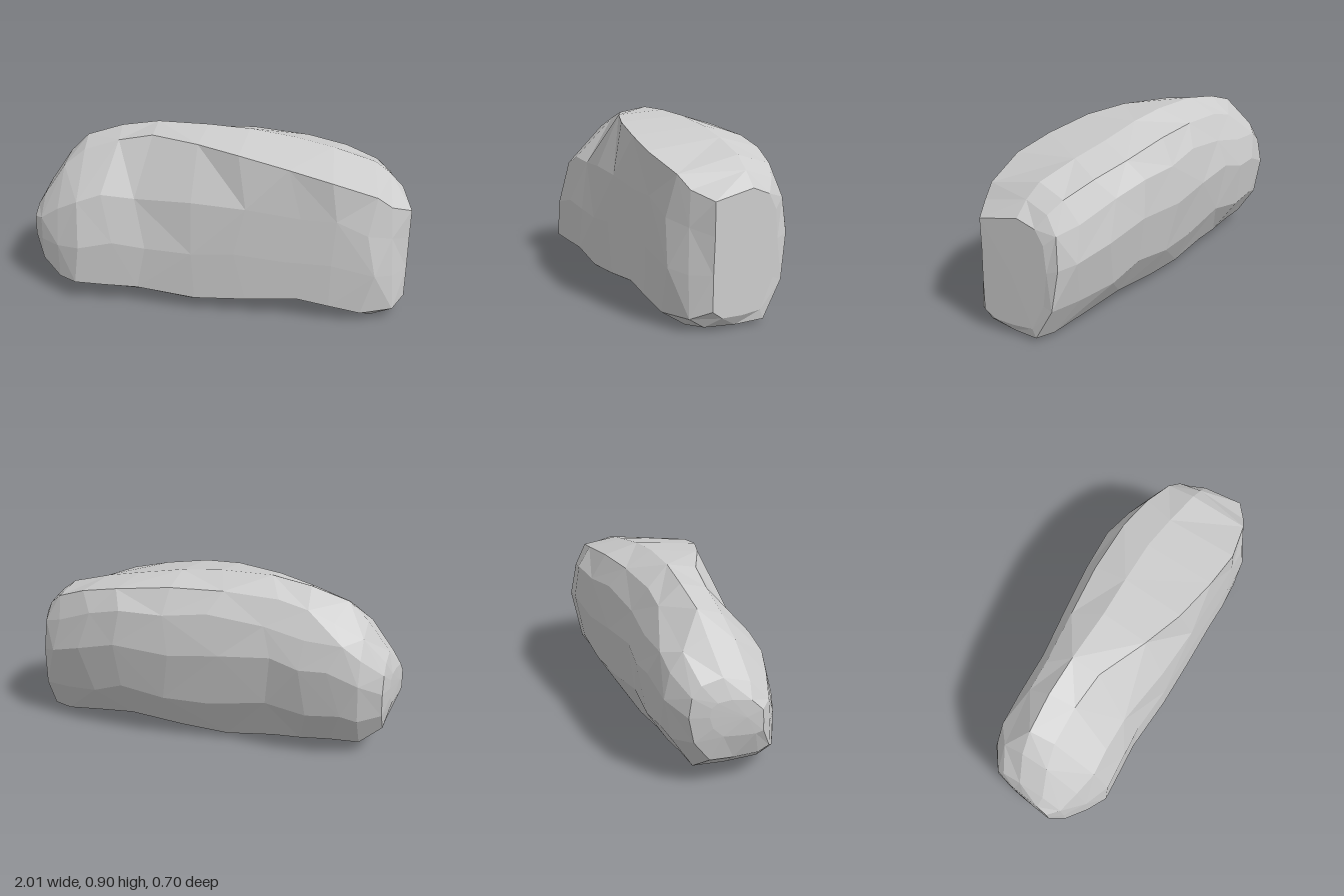
import * as THREE from 'three';

// Cross-sections along the length:
// x, bottom y, top y, back z, front z, shoulder z, shoulder y
const SECTIONS = [
  [-0.985, 0.28, 0.46, -0.09, 0.16, 0.1, 0.45],
  [-0.95, 0.15, 0.555, -0.18, 0.22, 0.11, 0.52],
  [-0.84, 0.065, 0.715, -0.258, 0.29, 0.08, 0.68],
  [-0.72, 0.058, 0.81, -0.284, 0.345, 0.06, 0.77],
  [-0.56, 0.045, 0.872, -0.295, 0.335, 0.06, 0.835],
  [-0.38, 0.035, 0.907, -0.288, 0.32, 0.08, 0.88],
  [-0.1, 0.008, 0.907, -0.312, 0.338, 0.19, 0.885],
  [0.15, 0.03, 0.892, -0.342, 0.34, 0.26, 0.865],
  [0.42, 0.062, 0.855, -0.355, 0.338, 0.3, 0.82],
  [0.62, 0.035, 0.817, -0.328, 0.338, 0.315, 0.77],
  [0.81, 0.003, 0.76, -0.282, 0.325, 0.27, 0.69],
  [0.92, 0.015, 0.7, -0.235, 0.265, 0.24, 0.63],
  [0.967, 0.062, 0.63, -0.18, 0.18, 0.17, 0.59],
];

// Loop of twelve points: over the shoulder, down the front, under, up the back
function ring([x, yb, yt, zb, zf, zs, ys], i) {
  const w = zf - zb, h = yt - yb;
  const lean = Math.max(0, zf - zs - 0.1); // upper sides lean inward where the shoulder is set in
  const pts = [
    [zs, ys],
    [zf - 0.025 * w - 0.3 * lean, yb + 0.66 * h],
    [zf - 0.005 * w, yb + 0.36 * h],
    [zf, yb + 0.075 * h],
    [zf - 0.14 * w, yb + 0.01 * h],
    [zb + 0.55 * w, yb],
    [zb + 0.26 * w, yb + 0.012 * h],
    [zb + 0.065 * w, yb + 0.26 * h],
    [zb, yb + 0.57 * h],
    [zb + 0.03 * w + 0.1 * lean, yb + (0.81 - 0.4 * lean) * h],
    [zb + 0.14 * w + 0.1 * lean, yb + (0.94 - 0.3 * lean) * h],
    [zb + (0.4 - 0.3 * lean) * w, yt],
  ];
  const first = i === 0, end = i === SECTIONS.length - 1, corner = i === SECTIONS.length - 2;
  const inner = i > 2 && !end && !corner;
  return pts.map(([z, y], j) => {
    // the ends are cut at a slant; elsewhere the facets are made uneven
    const dx = end ? 0.19 * z
      : corner ? -0.08 * (y - 0.35)
      : first ? -0.12 * z
      : inner ? 0.035 * Math.sin(i * 5.3 + j * 2.9) : 0;
    const dy = inner && [1, 2, 7, 8, 9].includes(j) ? 0.018 * Math.sin(i * 2.3 + j * 5.7) : 0;
    return [x + dx, y + dy, z];
  });
}

function rockGeometry() {
  const rings = SECTIONS.map(ring);
  const n = rings[0].length, last = rings.length - 1;
  const pos = rings.flat(2), idx = [];

  // skin between sections, with alternating diagonals
  for (let i = 0; i < last; i++) {
    for (let j = 0; j < n; j++) {
      const k = (j + 1) % n;
      const a = i * n + j, b = a + n, c = i * n + k, d = c + n;
      if ((i + j) % 2) idx.push(a, c, b, b, c, d);
      else idx.push(a, c, d, a, d, b);
    }
  }

  // end faces
  const left = rings.length * n, right = left + 1;
  pos.push(-1, 0.37, 0.08, 0.972, 0.35, 0.02);
  for (let j = 0; j < n; j++) {
    const k = (j + 1) % n;
    idx.push(left, k, j, right, last * n + j, last * n + k);
  }

  const indexed = new THREE.BufferGeometry();
  indexed.setAttribute('position', new THREE.Float32BufferAttribute(pos, 3));
  indexed.setIndex(idx);
  const geometry = indexed.toNonIndexed(); // separate faces give flat facets
  geometry.computeVertexNormals();
  return geometry;
}

export function createModel() {
  const group = new THREE.Group();
  group.name = 'rock';
  const stone = new THREE.MeshStandardMaterial({ color: 0xcccccc });
  stone.name = 'stoneGrey';
  const boulder = new THREE.Mesh(rockGeometry(), stone);
  boulder.name = 'boulder';
  group.add(boulder);
  return group;
}
